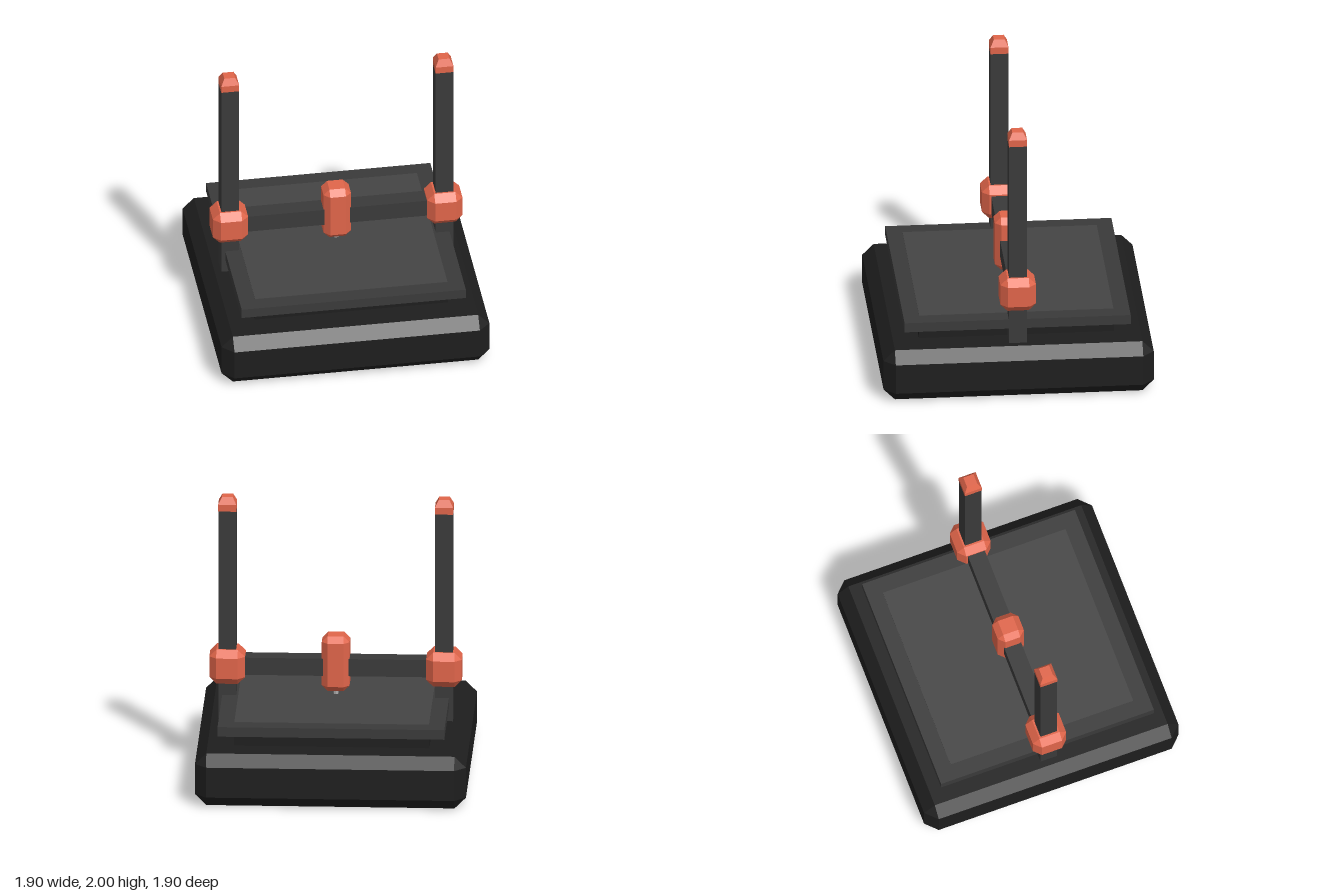
import * as THREE from 'three';
import { ConvexGeometry } from 'three/addons/geometries/ConvexGeometry.js';

const material = (color) => new THREE.MeshStandardMaterial({ color, flatShading: true });

// Box with every edge cut by a flat bevel and triangular corners
function chamferBox(w, h, d, c) {
  const points = [];
  for (const x of [-1, 1]) for (const y of [-1, 1]) for (const z of [-1, 1]) {
    const [a, b, e] = [w / 2, h / 2, d / 2];
    points.push(
      new THREE.Vector3(x * a, y * (b - c), z * (e - c)),
      new THREE.Vector3(x * (a - c), y * b, z * (e - c)),
      new THREE.Vector3(x * (a - c), y * (b - c), z * e));
  }
  return new ConvexGeometry(points);
}

export function createModel() {
  const group = new THREE.Group();
  const black = material(0x1e1e1e);
  const frame = material(0x3a3a3a);
  const bedGrey = material(0x444444);
  const orange = material(0xe0654a);
  const steel = material(0xaaaaaa);

  function add(name, geometry, mat, x, y, z = 0) {
    const mesh = new THREE.Mesh(geometry, mat);
    mesh.name = name;
    mesh.position.set(x, y, z);
    group.add(mesh);
    return mesh;
  }
  const box = (w, h, d) => new THREE.BoxGeometry(w, h, d);

  // Base and print bed
  add('base', chamferBox(1.9, 0.38, 1.9, 0.08), black, 0, 0.19);
  add('bedSupport', box(1.37, 0.11, 1.37), black, 0, 0.43);
  add('bedPlate', box(1.59, 0.07, 1.59), frame, 0, 0.515);
  add('bedSurface', box(1.365, 0.006, 1.365), bedGrey, 0, 0.55);

  // Uprights with tapered caps and sliding carriages
  for (const [side, s] of [['left', 1], ['right', -1]]) {
    const x = s * 0.76;
    add(side + 'Post', box(0.125, 1.54, 0.125), frame, x, 1.13);
    add(side + 'CapBase', box(0.127, 0.05, 0.127), orange, x, 1.925);
    const taper = new THREE.CylinderGeometry(0.038 * Math.SQRT2, 0.0635 * Math.SQRT2, 0.05, 4);
    taper.rotateY(Math.PI / 4);
    add(side + 'CapTip', taper, orange, x, 1.975);
    add(side + 'Carriage', chamferBox(0.25, 0.25, 0.25, 0.05), orange, x, 0.762);
  }

  // Crossbar, print head and nozzle
  add('crossbar', box(1.5, 0.126, 0.126), frame, 0, 0.764);
  add('printHead', chamferBox(0.195, 0.402, 0.195, 0.042), orange, 0, 0.789);
  add('nozzle', new THREE.CylinderGeometry(0.019, 0.019, 0.05, 8), steel, 0, 0.578);

  return group;
}
